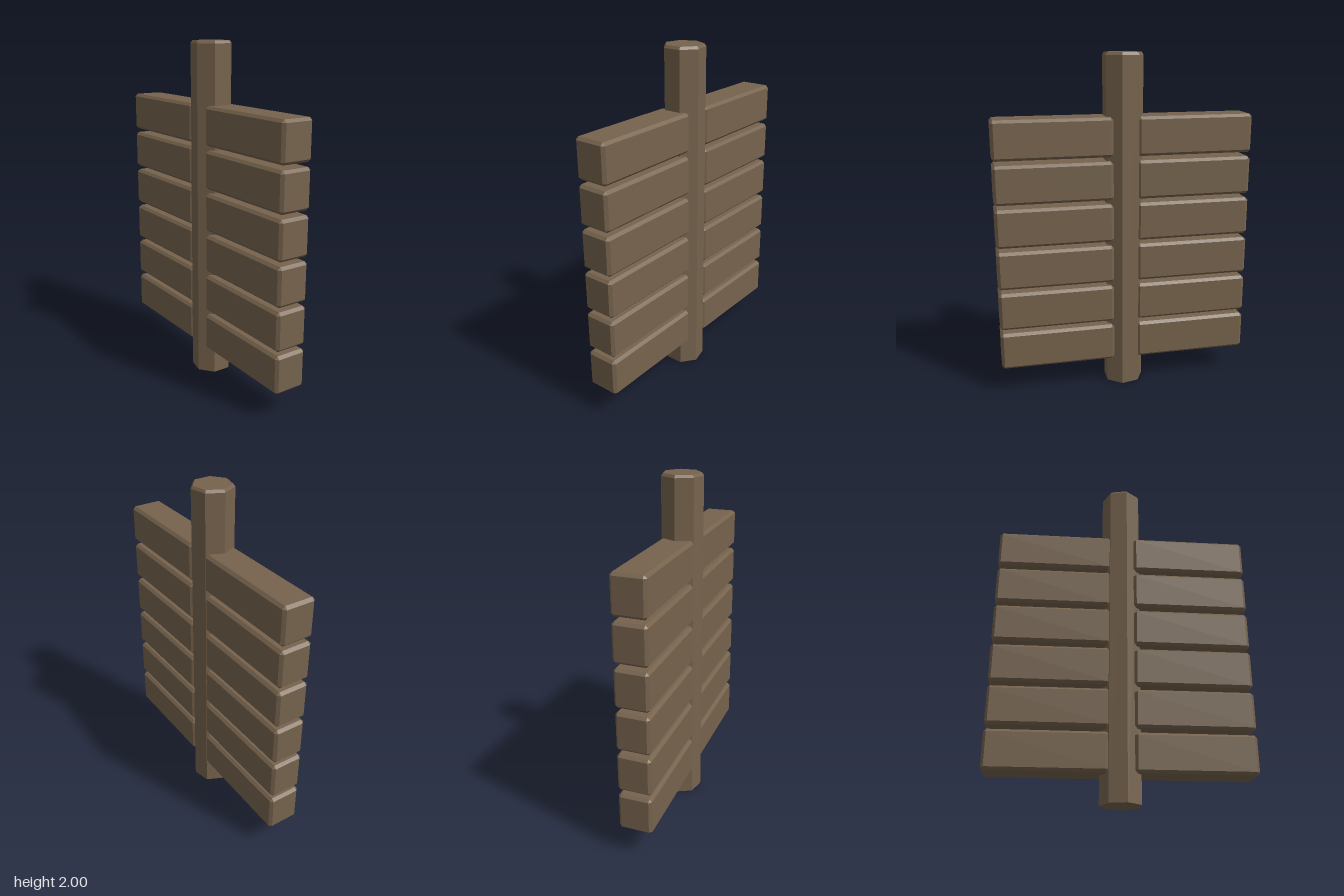
import * as THREE from 'three';
import { ConvexGeometry } from 'three/addons/geometries/ConvexGeometry.js';

// Box with every edge cut by a flat chamfer
function chamferBox(w, h, d, c) {
  const pts = [];
  for (const sx of [-1, 1]) for (const sy of [-1, 1]) for (const sz of [-1, 1]) {
    const x = w / 2, y = h / 2, z = d / 2;
    pts.push(
      new THREE.Vector3(sx * x, sy * (y - c), sz * (z - c)),
      new THREE.Vector3(sx * (x - c), sy * y, sz * (z - c)),
      new THREE.Vector3(sx * (x - c), sy * (y - c), sz * z));
  }
  return new ConvexGeometry(pts);
}

export function createModel() {
  const model = new THREE.Group();
  model.name = 'slattedPost';
  const wood = new THREE.MeshStandardMaterial({ color: 0x76634d, flatShading: true });
  wood.name = 'brown wood';

  const add = (name, geometry, x, y, z) => {
    const mesh = new THREE.Mesh(geometry, wood);
    mesh.name = name;
    mesh.position.set(x, y, z);
    model.add(mesh);
  };

  // Seven-sided post with a flat side to the front and a chamfered top
  const radius = 0.12, shoulder = 1.985;
  add('post', new THREE.CylinderGeometry(radius, radius, shoulder, 7, 1, false, Math.PI), 0, shoulder / 2, 0);
  add('postTop', new THREE.CylinderGeometry(0.109, radius, 2 - shoulder, 7, 1, false, Math.PI), 0, (2 + shoulder) / 2, 0);

  // Six planks on each side, their inner ends sunk into the post
  const inner = 0.071, outer = 0.756;
  const plank = chamferBox(0.196, 0.226, outer - inner, 0.016);
  for (let i = 0; i < 6; i++) {
    const y = 0.276 + i * 0.2515;
    add('frontPlank', plank, 0, y, (inner + outer) / 2);
    add('backPlank', plank, 0, y, -(inner + outer) / 2);
  }
  return model;
}
